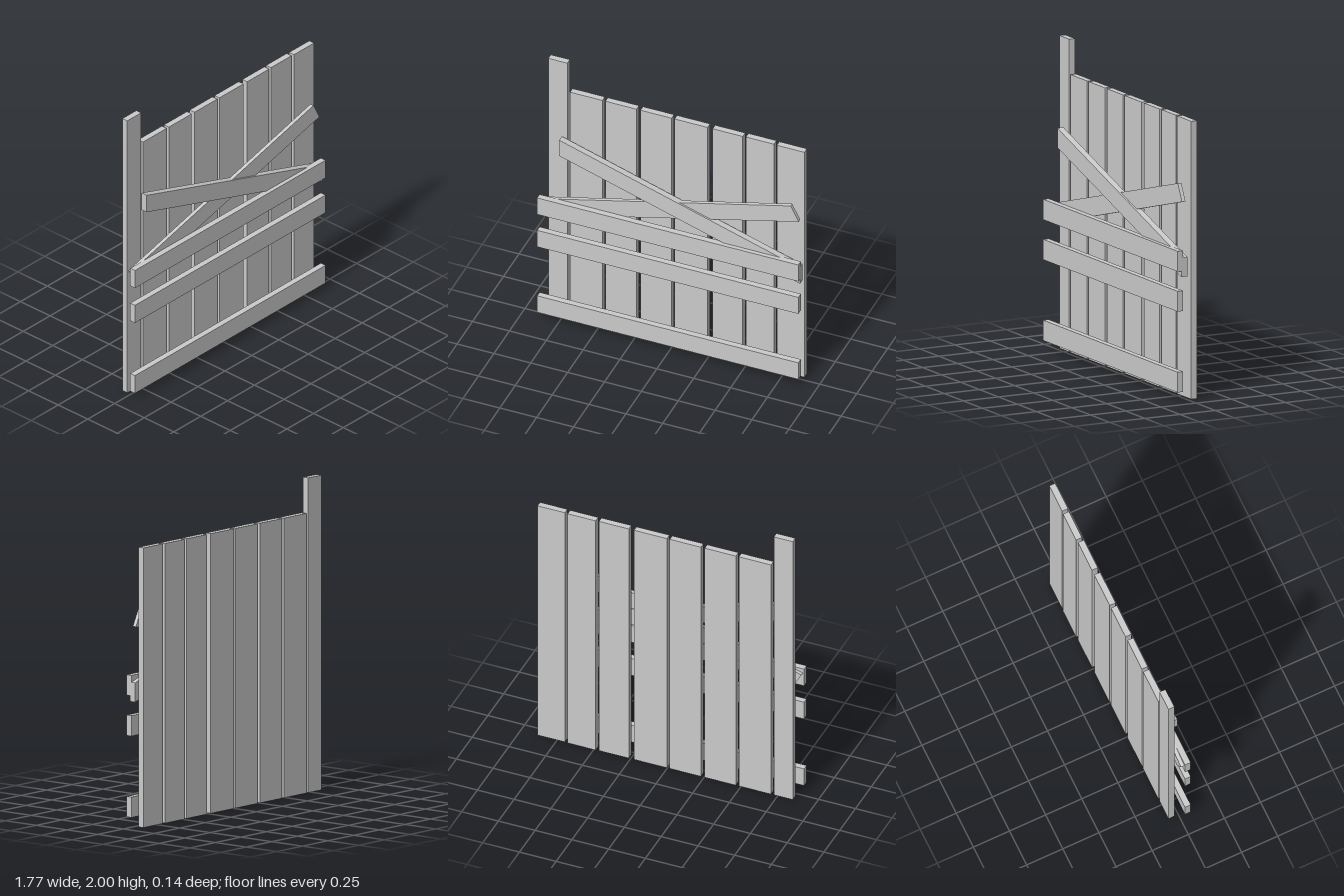
import * as THREE from 'three';

const material = new THREE.MeshStandardMaterial({ color: 0xcccccc, flatShading: true });

// Flat board from a front outline, running from z0 to z1
function board(name, corners, z0, z1) {
  const shape = new THREE.Shape(corners.map(([x, y]) => new THREE.Vector2(x, y)));
  const geometry = new THREE.ExtrudeGeometry(shape, { depth: z1 - z0, bevelEnabled: false });
  geometry.translate(0, 0, z0);
  const mesh = new THREE.Mesh(geometry, material);
  mesh.name = name;
  return mesh;
}

// Upright or level rectangular board
function plank(name, x0, x1, y0, y1, z0, z1) {
  return board(name, [[x0, y0], [x1, y0], [x1, y1], [x0, y1]], z0, z1);
}

export function createModel() {
  const model = new THREE.Group();
  model.name = 'boardedFence';

  // Tall end post
  model.add(plank('endPost', -0.853, -0.724, 0, 2, -0.068, -0.027));

  // Upright planks of uneven width
  const uprights = [
    [-0.705, -0.486], [-0.466, -0.254], [-0.228, -0.016], [0.003, 0.228],
    [0.262, 0.466], [0.486, 0.677], [0.697, 0.884],
  ];
  uprights.forEach(([x0, x1], i) => {
    const back = i === 5 ? 0.003 : 0;
    model.add(plank(`uprightPlank${i + 1}`, x0, x1, 0, 1.777, -0.068 - back, -0.027 - back));
  });

  // Level rails across the front
  [0.053, 0.57, 0.826].forEach((y, i) => {
    model.add(plank(`rail${i + 1}`, -0.888, 0.884, y, y + 0.13, 0.03, 0.07));
  });

  // Crossed braces between the uprights and the rails
  model.add(board('fallingBrace',
    [[-0.749, 1.31], [0.884, 0.789], [0.884, 0.912], [-0.749, 1.434]], 0, 0.043));
  model.add(board('risingBrace',
    [[-0.82, 0.815], [0.87, 1.265], [0.815, 1.374], [-0.88, 0.925]], 0.006, 0.031));

  return model;
}
